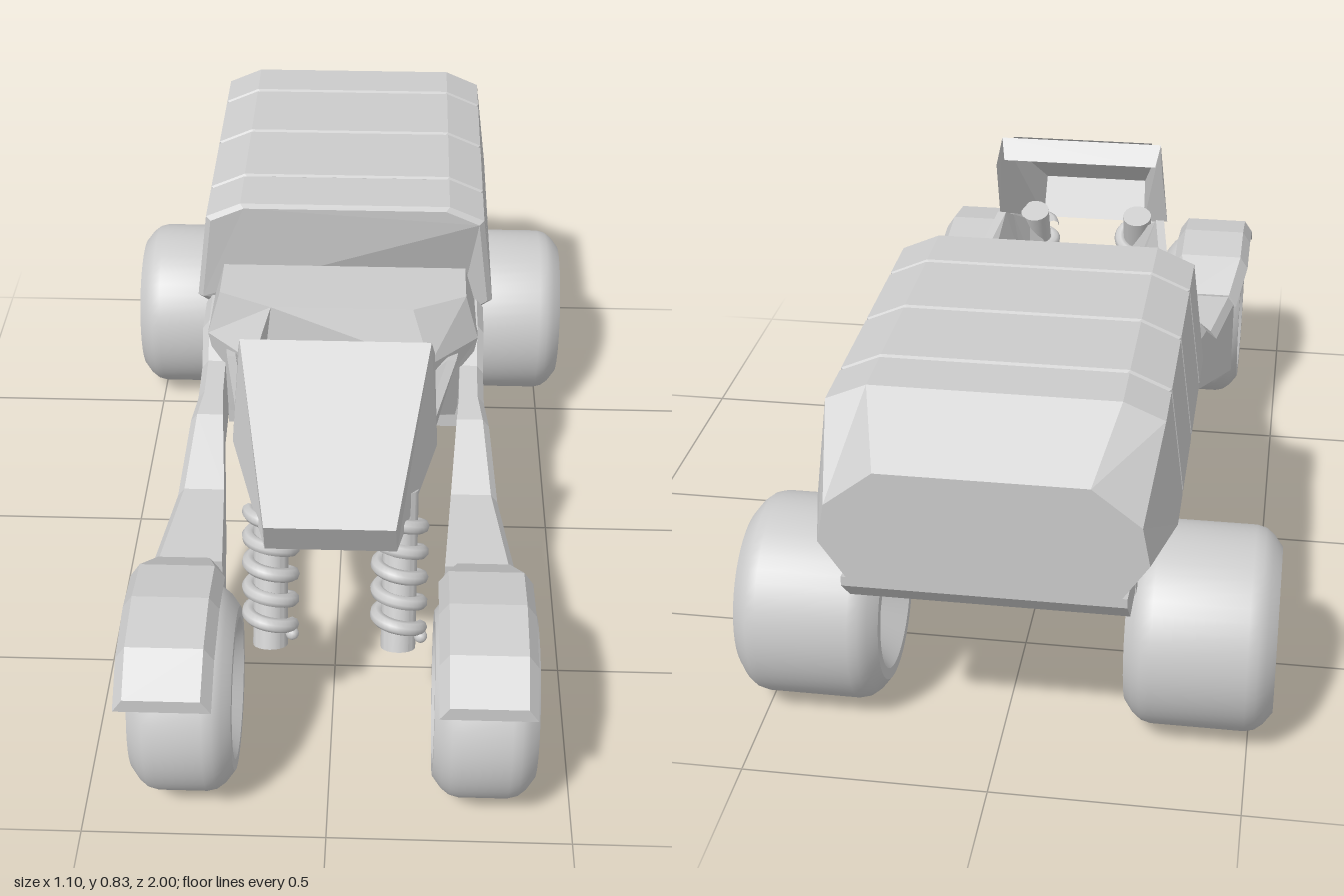
import * as THREE from 'three';
import { toCreasedNormals } from 'three/addons/utils/BufferGeometryUtils.js';

const flat = new THREE.MeshStandardMaterial({ color: 0xcccccc, flatShading: true });
const smooth = new THREE.MeshStandardMaterial({ color: 0xcccccc });
const thin = new THREE.MeshStandardMaterial({ color: 0xcccccc, flatShading: true, side: THREE.DoubleSide });

function add(parent, name, geometry, material = flat) {
  const mesh = new THREE.Mesh(geometry, material);
  mesh.name = name;
  parent.add(mesh);
  return mesh;
}

// Solid skinned over rings of [x, y, z] corners; the winding is fixed by the signed volume.
function loft(rings) {
  const n = rings[0].length, tris = [];
  for (let r = 0; r < rings.length - 1; r++) {
    for (let i = 0; i < n; i++) {
      const j = (i + 1) % n, a = rings[r][i], b = rings[r][j], c = rings[r + 1][j], d = rings[r + 1][i];
      tris.push([a, b, c], [a, c, d]);
    }
  }
  const cap = ring => {
    const pts = ring.map(p => new THREE.Vector2(p[0], p[1]));
    const cw = THREE.ShapeUtils.isClockWise(pts);
    return THREE.ShapeUtils.triangulateShape(pts, []).map(f => {
      const [a, b, c] = f.map(k => pts[k]);
      const area = (b.x - a.x) * (c.y - a.y) - (b.y - a.y) * (c.x - a.x);
      return ((area < 0) === cw ? f : [f[0], f[2], f[1]]).map(k => ring[k]);
    });
  };
  cap(rings[0]).forEach(t => tris.push([t[0], t[2], t[1]]));
  cap(rings[rings.length - 1]).forEach(t => tris.push(t));
  const v = p => new THREE.Vector3(...p);
  const volume = tris.reduce((s, [a, b, c]) => s + v(a).dot(v(b).cross(v(c))), 0);
  return fromTriangles(volume < 0 ? tris.map(([a, b, c]) => [a, c, b]) : tris);
}

function fromTriangles(tris) {
  const g = new THREE.BufferGeometry();
  g.setAttribute('position', new THREE.Float32BufferAttribute(tris.flat(2), 3));
  g.computeVertexNormals();
  return g;
}

// Side outline of [z, y] points extruded from x0 to x1
function sidePlate(points, x0, x1) {
  const shape = new THREE.Shape(points.map(([z, y]) => new THREE.Vector2(-z, y)));
  const g = new THREE.ExtrudeGeometry(shape, { depth: x1 - x0, bevelEnabled: false });
  return g.rotateY(Math.PI / 2).translate(x0, 0, 0);
}

function box(x, y, z, w, h, d) {
  return new THREE.BoxGeometry(w, h, d).translate(x, y, z);
}

// Mirror a half section across x = 0
const mirrored = half => [...half, ...half.slice().reverse().map(([x, y, z]) => [-x, y, z])];

function wheel(name, x, z, width) {
  const h = width / 2, r = 0.21;
  const half = [[0, h - 0.05], [0.097, h - 0.05], [0.145, h], [0.168, h], [0.192, h - 0.018], [0.205, h - 0.035], [r, h - 0.055]];
  const profile = [...half.map(([a, b]) => [a, -b]), ...half.slice().reverse()];
  const g = new THREE.LatheGeometry(profile.map(p => new THREE.Vector2(...p)), 48);
  g.rotateZ(Math.PI / 2).translate(x, r, z);
  return [name, toCreasedNormals(g, 0.5), smooth];
}

function shock(x) {
  const g = new THREE.Group();
  g.name = 'shockAbsorber';
  add(g, 'shockCore', toCreasedNormals(new THREE.CylinderGeometry(0.036, 0.036, 0.34, 20).translate(0, 0.17, 0), 0.5), smooth);
  const coil = [];
  for (let i = 0; i <= 90; i++) {
    const t = i / 90, a = t * Math.PI * 9;
    coil.push(new THREE.Vector3(0.045 * Math.cos(a), 0.045 + 0.245 * t, 0.045 * Math.sin(a)));
  }
  add(g, 'coilSpring', new THREE.TubeGeometry(new THREE.CatmullRomCurve3(coil), 150, 0.015, 8), smooth);
  add(g, 'shockPin', new THREE.SphereGeometry(0.014, 12, 8).translate(0.046, 0.03, 0.015), smooth);
  g.position.set(x, 0.26, 0.71);
  g.rotation.x = -0.39;
  return g;
}

export function createModel() {
  const model = new THREE.Group();
  model.name = 'buggy';

  // Cargo pod in four bands with narrow grooves between
  const half = [[0.24, 0.815], [0.32, 0.78], [0.348, 0.56], [0.28, 0.46]];
  const section = (z, k = 1, zs = [0, 0, 0, 0]) =>
    mirrored(half.map(([x, y], i) => [x * k, 0.63 + (y - 0.63) * k, z + zs[i]]));
  const inset = 0.98, slope = [0, 0, -0.012, -0.09];
  const band = (a, b) => [section(a, inset), section(a - 0.006), section(b + 0.006), section(b, inset)];
  const rearRing = mirrored([[0.2, 0.715, -1], [0.295, 0.64, -1], [0.31, 0.56, -1], [0.26, 0.485, -1]]);
  add(model, 'podFront', loft([section(-0.14, 0.965, slope), section(-0.152, 1, slope), section(-0.28), section(-0.286, inset)]));
  add(model, 'podBand', loft(band(-0.287, -0.51)));
  add(model, 'podBand', loft(band(-0.511, -0.73)));
  add(model, 'podRear', loft([section(-0.731, inset), section(-0.737), section(-0.85), rearRing]));
  add(model, 'rearBumper', sidePlate([[-0.83, 0.46], [-1, 0.485], [-1, 0.465], [-0.94, 0.405], [-0.85, 0.4]], -0.27, 0.27));

  // Under-frame: rails, V struts and cross members
  for (const s of [-1, 1]) {
    const plate = (name, points, inner, outer) =>
      add(model, name, sidePlate(points, Math.min(s * inner, s * outer), Math.max(s * inner, s * outer)));
    plate('frameRail', [[-0.12, 0.46], [-0.83, 0.46], [-0.83, 0.38], [-0.8, 0.38], [-0.78, 0.415], [-0.12, 0.415]], 0.22, 0.27);
    plate('lowerRail', [[-0.08, 0.415], [-0.58, 0.4], [-0.58, 0.37], [-0.08, 0.36]], 0.2, 0.25);
    plate('strut', [[-0.045, 0.35], [-0.22, 0.21], [-0.275, 0.21], [-0.44, 0.37], [-0.35, 0.37], [-0.252, 0.26], [-0.235, 0.26], [-0.12, 0.36]], 0.172, 0.25);
  }
  add(model, 'strutCrossbar', box(0, 0.225, -0.247, 0.5, 0.03, 0.055));
  for (const z of [-0.43, -0.81]) add(model, 'frameCrossbar', box(0, 0.4, z, 0.5, 0.04, 0.04));

  // Shoulder block joining the cab, arms and frame
  add(model, 'shoulderBlock', loft([
    mirrored([[0.28, 0.665, -0.13], [0.31, 0.56, -0.13], [0.27, 0.36, -0.13]]),
    mirrored([[0.28, 0.665, -0.01], [0.31, 0.56, 0.0], [0.27, 0.34, 0.0]]),
    mirrored([[0.16, 0.665, 0.05], [0.2, 0.55, 0.1], [0.19, 0.4, 0.08]]),
  ]));
  add(model, 'shoulderCrossbar', box(0, 0.355, -0.06, 0.54, 0.09, 0.13));

  // Open cab tub with raised side walls
  const tub = (z, xt, yt, xb, yb, floor, zb = z) => mirrored([
    [xt - 0.06, floor, z], [xt - 0.02, yt, z], [xt, yt, z], [xb, yb, zb]]);
  add(model, 'cabTub', loft([
    tub(0.0, 0.27, 0.535, 0.2, 0.4, 0.51),
    tub(0.08, 0.26, 0.55, 0.2, 0.4, 0.51),
    tub(0.42, 0.208, 0.635, 0.165, 0.405, 0.5, 0.42),
    tub(0.49, 0.2, 0.6, 0.155, 0.405, 0.49, 0.48),
    tub(0.58, 0.172, 0.55, 0.145, 0.405, 0.485, 0.525),
  ]));

  // Canopy: sloped windscreen, side flaps and chin
  const P = (s, [x, y, z]) => [s * x, y, z];
  const quad = (a, b, c, d) => [[a, b, c], [a, c, d]];
  const A = [0.195, 0.83, 0.425], A2 = [0.203, 0.775, 0.38], B = [0.13, 0.605, 0.75];
  const C = [0.212, 0.61, 0.475], D = [0.133, 0.51, 0.70], lip = [0.185, 0.785, 0.39];
  const shell = [
    ...quad(P(-1, B), P(1, B), P(1, A), P(-1, A)),
    ...quad(P(-1, D), P(1, D), P(1, B), P(-1, B)),
    ...quad(P(1, A), P(1, lip), P(-1, lip), P(-1, A)),
  ];
  for (const [a, b, c] of [[A, B, D], [A, D, C], [A, C, A2]]) {
    shell.push([a, b, c], [P(-1, a), P(-1, c), P(-1, b)]);
  }
  add(model, 'canopyShell', fromTriangles(shell), thin);
  add(model, 'windscreen', fromTriangles(quad([-0.112, 0.622, 0.738], [0.112, 0.622, 0.738], [0.172, 0.826, 0.444], [-0.172, 0.826, 0.444])), thin);

  model.add(shock(-0.126), shock(0.139));

  // Front arms, fenders and wheels
  const arm = [ // z, bottom, top, inner x, outer x
    [-0.13, 0.36, 0.58, 0.265, 0.325], [-0.035, 0.33, 0.57, 0.27, 0.325], [0.02, 0.33, 0.495, 0.27, 0.325],
    [0.12, 0.33, 0.48, 0.268, 0.325], [0.195, 0.3, 0.47, 0.262, 0.335], [0.345, 0.24, 0.375, 0.25, 0.353], [0.575, 0.15, 0.365, 0.235, 0.385],
  ];
  const fender = [ // z, top, half width
    [1.0, 0.375, 0.096], [0.915, 0.435, 0.097], [0.79, 0.455, 0.097], [0.67, 0.435, 0.097], [0.57, 0.37, 0.075],
  ];
  for (const s of [-1, 1]) {
    add(model, 'frontArm', loft(arm.map(([z, b, t, i, o]) =>
      [[s * i, b, z], [s * o, b, z], [s * o, t - 0.02, z], [s * (o - 0.015), t, z], [s * i, t, z]])));
    add(model, 'frontFender', loft(fender.map(([z, y, w]) =>
      [[s * 0.316 - w + 0.02, y, z], [s * 0.316 + w - 0.02, y, z], [s * 0.316 + w, y - 0.03, z], [s * 0.316 - w, y - 0.03, z]])));
    add(model, ...wheel('frontWheel', s * 0.305 + 0.012, 0.79, 0.208));
    add(model, ...wheel('rearWheel', s * 0.398, -0.668, 0.3));
  }
  return model;
}
